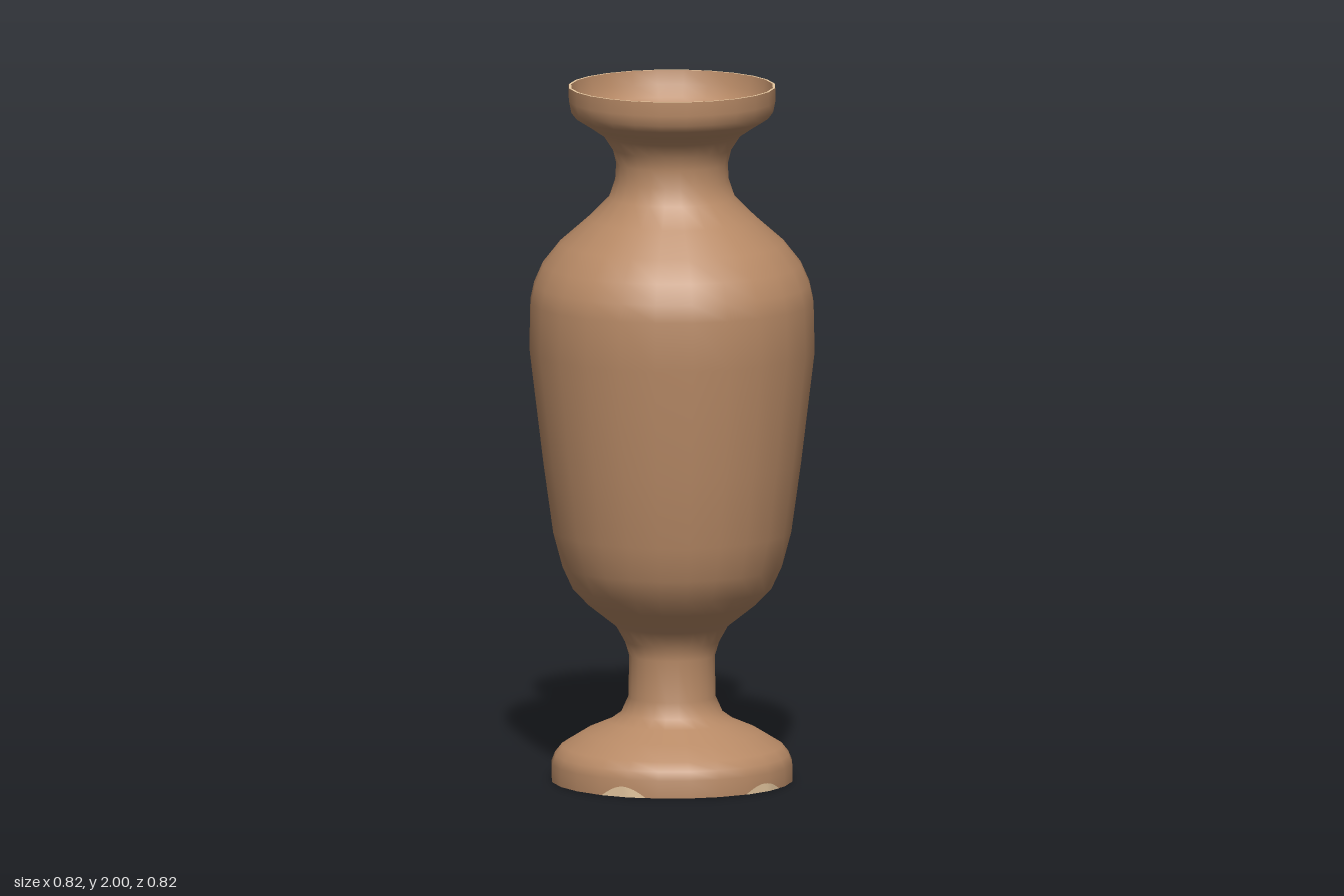
import * as THREE from 'three';

const SIDES = 24;

function material(name, color, side = THREE.FrontSide) {
  const m = new THREE.MeshStandardMaterial({ color, side });
  m.name = name;
  return m;
}

export function createModel() {
  const group = new THREE.Group();
  group.name = 'vase';
  const clay = material('clay brown', 0xb88a66);
  const dark = material('dark olive', 0x6b5b42);
  const cream = material('worn cream', 0xe6c8a0);

  const add = (name, geometry, mat) => {
    const mesh = new THREE.Mesh(geometry, mat);
    mesh.name = name;
    group.add(mesh);
    return mesh;
  };
  const lathe = (name, points, mat) =>
    add(name, new THREE.LatheGeometry(points.map(([r, y]) => new THREE.Vector2(r, y)), SIDES), mat);

  // Outer wall: foot, stem, belly, shoulder, neck and lip
  lathe('outerBody', [
    [0.345, 0], [0.345, 0.05], [0.335, 0.075], [0.315, 0.1], [0.25, 0.14], [0.18, 0.17], [0.145, 0.195],
    [0.125, 0.24], [0.123, 0.36], [0.135, 0.4], [0.16, 0.445], [0.24, 0.508], [0.285, 0.555],
    [0.315, 0.62], [0.342, 0.72], [0.37, 0.92], [0.409, 1.24], [0.406, 1.38], [0.395, 1.43],
    [0.37, 1.487], [0.32, 1.55], [0.24, 1.62], [0.18, 1.68], [0.163, 1.73], [0.16, 1.78],
    [0.17, 1.82], [0.195, 1.858], [0.235, 1.885], [0.275, 1.91], [0.29, 1.93], [0.296, 1.96], [0.296, 2],
  ], clay);

  // Thin worn edge on the lip, then the bowl running down into the neck
  lathe('lipEdge', [[0.296, 2], [0.289, 2]], cream);
  lathe('mouthInside', [
    [0.289, 2], [0.281, 1.96], [0.262, 1.925], [0.225, 1.9], [0.18, 1.872],
    [0.15, 1.835], [0.132, 1.79], [0.127, 1.72],
  ], clay);
  const floor = add('neckFloor', new THREE.CircleGeometry(0.128, SIDES), dark);
  floor.rotation.x = -Math.PI / 2;
  floor.position.y = 1.72;

  // Hollow underside of the foot
  lathe('footInside', [[0.25, 0.09], [0.29, 0.075], [0.32, 0.045], [0.334, 0]], clay);
  lathe('footEdge', [[0.334, 0], [0.345, 0]], clay);
  const cap = add('footCap', new THREE.CircleGeometry(0.252, SIDES), dark);
  cap.rotation.x = Math.PI / 2;
  cap.position.y = 0.088;

  // Lens-shaped worn patch that follows the facets of the wall
  function chip(name, angle, spread, radius, y, height) {
    const step = (2 * Math.PI) / SIDES, n = 12;
    const pos = [], index = [];
    for (let i = 0; i <= n; i++) {
      const a = angle + spread * (i / n - 0.5);
      const local = a - Math.floor(a / step) * step - step / 2;
      const r = (radius * Math.cos(step / 2)) / Math.cos(local) + 0.002;
      const h = height * Math.sin((Math.PI * i) / n);
      pos.push(Math.sin(a) * r, y, Math.cos(a) * r, Math.sin(a) * r, y + h, Math.cos(a) * r);
      if (i < n) {
        const k = i * 2;
        // Patches that hang from the lip have a negative height
        if (height > 0) index.push(k, k + 2, k + 1, k + 1, k + 2, k + 3);
        else index.push(k, k + 1, k + 2, k + 1, k + 3, k + 2);
      }
    }
    const g = new THREE.BufferGeometry();
    g.setAttribute('position', new THREE.Float32BufferAttribute(pos, 3));
    g.setIndex(index);
    g.computeVertexNormals();
    add(name, g, cream);
  }
  chip('footChipFront', -0.06, 0.44, 0.345, 0, 0.024);
  chip('footChipLeft', Math.PI / 2 - 0.04, 0.52, 0.345, 0, 0.03);
  chip('footChipRight', -Math.PI / 2 + 0.22, 0.4, 0.345, 0, 0.03);
  chip('lipChip', Math.PI / 2 + 0.6, 0.25, 0.296, 2, -0.014);

  return group;
}
